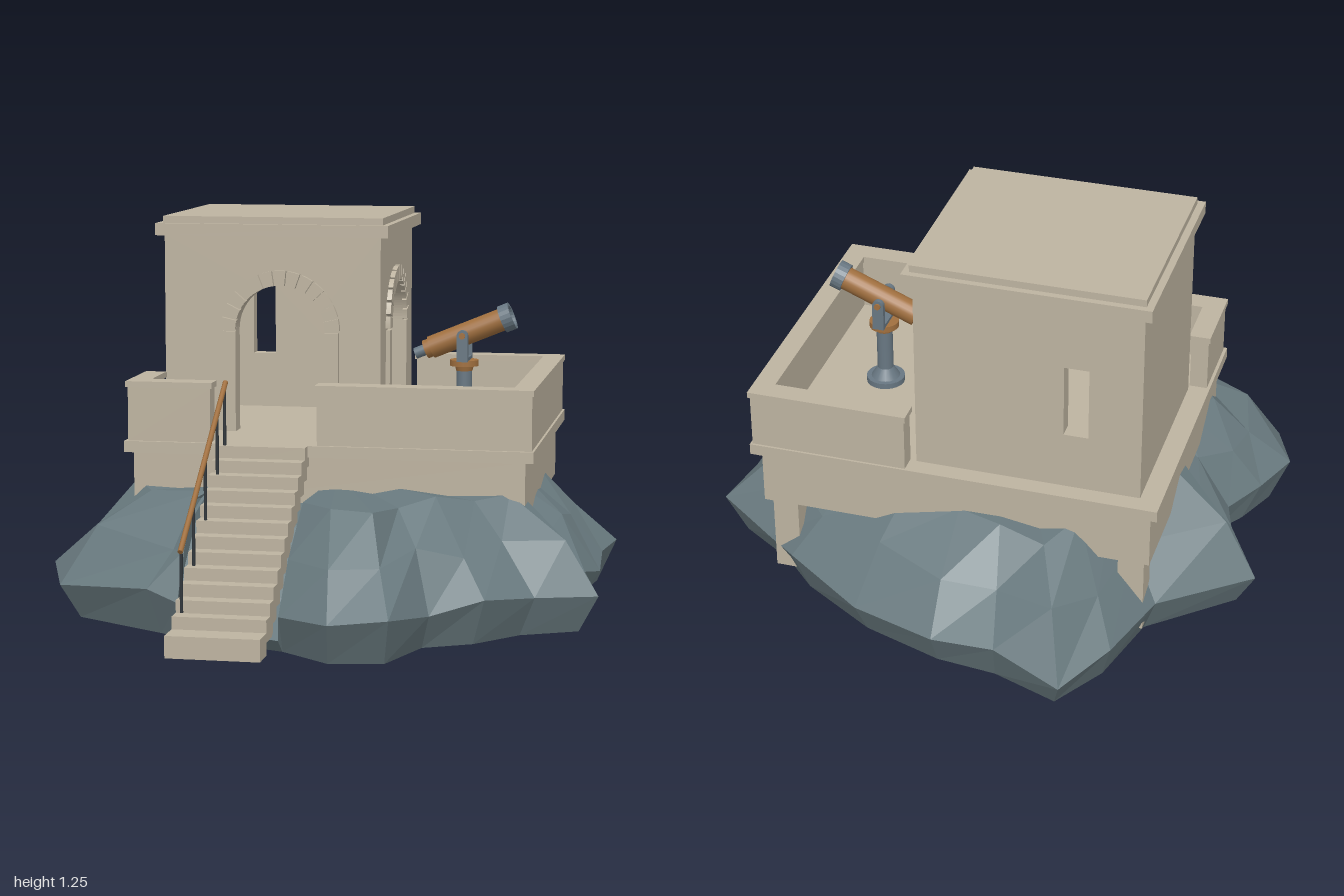
import * as THREE from 'three';

const mat = (name, color) => {
  const m = new THREE.MeshStandardMaterial({ color });
  m.name = name;
  return m;
};

export function createModel() {
  const stone = mat('stone', 0xbdb3a0);
  const rock = mat('rock', 0x697a7f);
  const wood = mat('wood', 0xa06f3e);
  const metal = mat('metal', 0x687782);
  const iron = mat('iron', 0x30363b);

  const model = new THREE.Group();
  const group = (name, parent = model) => {
    const g = new THREE.Group();
    g.name = name;
    parent.add(g);
    return g;
  };
  const add = (parent, name, geo, material) => {
    const m = new THREE.Mesh(geo, material);
    m.name = name;
    parent.add(m);
    return m;
  };
  // box given by its extents
  const box = (parent, name, x0, x1, y0, y1, z0, z1, material = stone) => {
    const m = add(parent, name, new THREE.BoxGeometry(x1 - x0, y1 - y0, z1 - z0), material);
    m.position.set((x0 + x1) / 2, (y0 + y1) / 2, (z0 + z1) / 2);
    return m;
  };
  // round bar between two points
  const bar = (parent, name, a, b, r0, r1, material, sides = 16) => {
    const p = new THREE.Vector3(...a), q = new THREE.Vector3(...b);
    const d = q.clone().sub(p);
    const m = add(parent, name, new THREE.CylinderGeometry(r1, r0, d.length(), sides), material);
    m.position.copy(p).add(q).multiplyScalar(0.5);
    m.quaternion.setFromUnitVectors(new THREE.Vector3(0, 1, 0), d.normalize());
    return m;
  };

  // ---- rock: columns of four points (foot, waist, shoulder, top) around the outline
  const outline = [
    [0.15, 0.99], [0.32, 0.96], [0.40, 0.73], [0.55, 0.65], [0.68, 0.50], [0.86, 0.41],
    [0.80, 0.20], [0.83, 0.00], [0.82, -0.2], [0.85, -0.40], [0.65, -0.53], [0.53, -0.65],
    [0.27, -0.81], [0.00, -0.90], [-0.20, -0.92], [-0.42, -1.00], [-0.53, -0.82], [-0.60, -0.55],
    [-0.86, -0.32], [-0.74, -0.12], [-0.70, 0.03], [-0.78, 0.15], [-0.845, 0.30], [-0.77, 0.50],
    [-0.45, 0.68],
  ];
  const wobble = (i, k) => Math.sin(i * 2.4 + k * 1.7) * 0.02;
  const columns = outline.map(([x, z], i) => [
    [0.93, 0.045], [1, 0.17 + wobble(i, 0)],
    [0.86 + wobble(i, 1), 0.31 + wobble(i, 2)], [0.69 + wobble(i, 3), 0.435 + wobble(i, 4) * 0.8],
  ].map(([s, y]) => [x * s, y, z * s]));
  // vertical cut in the rock for the stairs
  const cut = (x, zs, ys) => zs.map((z, i) => [x, ys[i], z]);
  const zl = [0.68, 0.73, 0.64, 0.5], zr = [0.80, 0.86, 0.72, 0.5];
  const wallY = [0.045, 0.16, 0.30, 0.43];
  columns.push(
    cut(-0.345, zl, wallY), cut(-0.344, zl, [0.045, 0.10, 0.25, 0.36]),
    cut(-0.016, zr, [0.045, 0.09, 0.18, 0.36]), cut(-0.015, zr, wallY));
  const tri = [];
  columns.forEach((a, i) => {
    const b = columns[(i + 1) % columns.length];
    for (let k = 0; k < 3; k++) {
      tri.push(a[k], b[k], b[k + 1], a[k], b[k + 1], a[k + 1]);
    }
    tri.push(a[3], b[3], [0, 0.43, 0], b[0], a[0], [0, 0, 0]);
  });
  const rockGeo = new THREE.BufferGeometry();
  rockGeo.setAttribute('position', new THREE.Float32BufferAttribute(tri.flat(), 3));
  rockGeo.computeVertexNormals();
  add(model, 'rock', rockGeo, rock);

  // ---- platform with two rear legs
  const platform = group('platform');
  box(platform, 'foundation', -0.59, 0.625, 0.355, 0.535, -0.61, 0.29);
  box(platform, 'floorSlab', -0.615, 0.652, 0.535, 0.57, -0.637, 0.312);
  for (const x of [-0.53, 0.565]) box(platform, 'rearLeg', x - 0.04, x + 0.04, 0.1, 0.356, -0.59, -0.51);

  // ---- parapet walls with caps
  const parapet = group('parapet');
  const wall = (x0, x1, z0, z1) => {
    box(parapet, 'parapetWall', x0, x1, 0.57, 0.737, z0, z1);
    box(parapet, 'parapetCap', x0 - 0.006, x1 + 0.006, 0.737, 0.755, z0 - 0.006, z1 + 0.006);
  };
  wall(-0.605, -0.345, 0.241, 0.30);
  wall(-0.605, -0.55, 0.06, 0.241);
  wall(-0.012, 0.645, 0.241, 0.30);
  wall(0.591, 0.645, -0.575, 0.241);
  wall(0.16, 0.645, -0.63, -0.575);

  // ---- tower
  const tower = group('tower');
  const T = 0.05, archY = 0.89, rIn = 0.143, rOut = 0.19;
  const X0 = -0.55, X1 = 0.14, Z0 = -0.58, Z1 = 0.04, Y0 = 0.57, Y1 = 1.19;
  const extrude = (shape, depth) =>
    new THREE.ExtrudeGeometry(shape, { depth, bevelEnabled: false, curveSegments: 24 });
  const polygon = (pts) => new THREE.Shape(pts.map((p) => new THREE.Vector2(...p)));

  // wall with an arched doorway at c, spanning a..b, outer face at local z = 0
  const archWall = (name, a, b, c) => {
    const g = group(name, tower);
    const s = new THREE.Shape();
    s.moveTo(a, Y0);
    s.lineTo(c - rIn, Y0);
    s.lineTo(c - rIn, archY);
    s.absarc(c, archY, rIn, Math.PI, 0, true);
    s.lineTo(c + rIn, Y0);
    s.lineTo(b, Y0);
    s.lineTo(b, Y1);
    s.lineTo(a, Y1);
    add(g, 'doorWall', extrude(s, T), stone).position.z = -T;
    for (const side of [-1, 1]) {
      const e = [c + side * rIn, c + side * (rOut - 0.004)].sort((p, q) => p - q);
      box(g, 'doorJamb', e[0], e[1], Y0, archY - 0.003, -0.01, 0.013);
    }
    const n = 13, step = Math.PI / n;
    for (let i = 0; i < n; i++) {
      const v = new THREE.Shape();
      const t0 = i * step + 0.02, t1 = (i + 1) * step - 0.02;
      v.absarc(c, archY, rOut, t0, t1, false);
      v.absarc(c, archY, rIn, t1, t0, true);
      add(g, 'archStone', new THREE.ExtrudeGeometry(v,
        { depth: 0.025, bevelEnabled: false, curveSegments: 3 }), stone).position.z = -0.01;
    }
    return g;
  };
  archWall('frontDoorway', X0, X1, -0.178).position.z = Z1;
  const sideDoor = archWall('sideDoorway', -Z1 + T, -Z0, 0.245);
  sideDoor.rotation.y = Math.PI / 2;
  sideDoor.position.x = X1;

  // back wall with a narrow window
  const back = polygon([[X0, Y0], [X1 - T, Y0], [X1 - T, Y1], [X0, Y1]]);
  back.holes.push(new THREE.Path(
    [[-0.39, 0.75], [-0.39, 0.98], [-0.315, 0.98], [-0.315, 0.75]].map((p) => new THREE.Vector2(...p))));
  add(tower, 'windowWall', extrude(back, T), stone).position.z = Z0;
  box(tower, 'plainWall', X0, X0 + T, Y0, Y1, Z0 + T, Z1 - T);
  box(tower, 'cornice', X0 - 0.025, X1 + 0.027, 1.187, 1.225, Z0 - 0.025, Z1 + 0.025);
  box(tower, 'roofSlab', X0 - 0.003, X1 + 0.007, 1.225, 1.247, Z0 - 0.005, Z1 + 0.005);

  // ---- stairs
  const stairs = group('stairs');
  for (let i = 0; i < 13; i++) {
    const front = i === 12 ? 1.0 : 0.356 + i * 0.0508, y = 0.57 - i * 0.0371;
    box(stairs, 'step', -0.315, -0.038, y - 0.065, y, front - 0.088, front);
  }

  // ---- handrail on one side
  const handrail = group('handrail');
  const railY = (z) => 0.755 - (z - 0.335) * 0.714;
  bar(handrail, 'rail', [-0.29, railY(0.325), 0.325], [-0.29, railY(0.905), 0.905], 0.008, 0.008, wood, 10);
  for (const z of [0.34, 0.44, 0.595, 0.745, 0.895]) {
    bar(handrail, 'post', [-0.29, railY(z) - 0.185, z], [-0.29, railY(z), z], 0.005, 0.005, iron, 8);
  }

  // ---- telescope on its stand
  const scope = group('telescope');
  scope.position.set(0.375, 0, -0.172);
  const upright = (name, y0, y1, r0, r1, m) => bar(scope, name, [0, y0, 0], [0, y1, 0], r0, r1, m, 20);
  upright('foot', 0.57, 0.588, 0.06, 0.06, metal);
  upright('footCone', 0.588, 0.62, 0.045, 0.025, metal);
  upright('pillar', 0.62, 0.755, 0.025, 0.025, metal);
  upright('collar', 0.752, 0.768, 0.026, 0.03, wood);
  upright('turntable', 0.768, 0.787, 0.046, 0.046, wood);
  box(scope, 'forkBase', -0.018, 0.018, 0.785, 0.797, -0.056, 0.056, metal);
  for (const s of [-1, 1]) {
    box(scope, 'forkArm', -0.018, 0.018, 0.785, 0.868, s * 0.05 - 0.008, s * 0.05 + 0.008, metal);
    bar(scope, 'forkTop', [0, 0.868, s * 0.042], [0, 0.868, s * 0.058], 0.018, 0.018, metal);
  }
  bar(scope, 'axle', [0, 0.868, -0.064], [0, 0.868, 0.064], 0.01, 0.01, wood);

  const tube = group('tube', scope);
  tube.position.y = 0.868;
  tube.rotation.z = 0.39;
  const along = (name, a, b, r0, r1, m) => bar(tube, name, [a, 0, 0], [b, 0, 0], r0, r1, m, 20);
  along('eyepiece', -0.17, -0.125, 0.018, 0.018, metal);
  along('rearBarrel', -0.135, -0.10, 0.03, 0.03, wood);
  along('barrel', -0.115, 0.135, 0.036, 0.036, wood);
  // hollow ring around the lens
  const ring = [[0.034, 0], [0.044, 0], [0.044, 0.035], [0.034, 0.035], [0.034, 0]];
  const hood = add(tube, 'lensHood',
    new THREE.LatheGeometry(ring.map((p) => new THREE.Vector2(...p)), 20).toNonIndexed(), metal);
  hood.geometry.computeVertexNormals();
  hood.rotation.z = -Math.PI / 2;
  hood.position.x = 0.13;
  along('lens', 0.13, 0.152, 0.035, 0.035, metal);

  return model;
}
